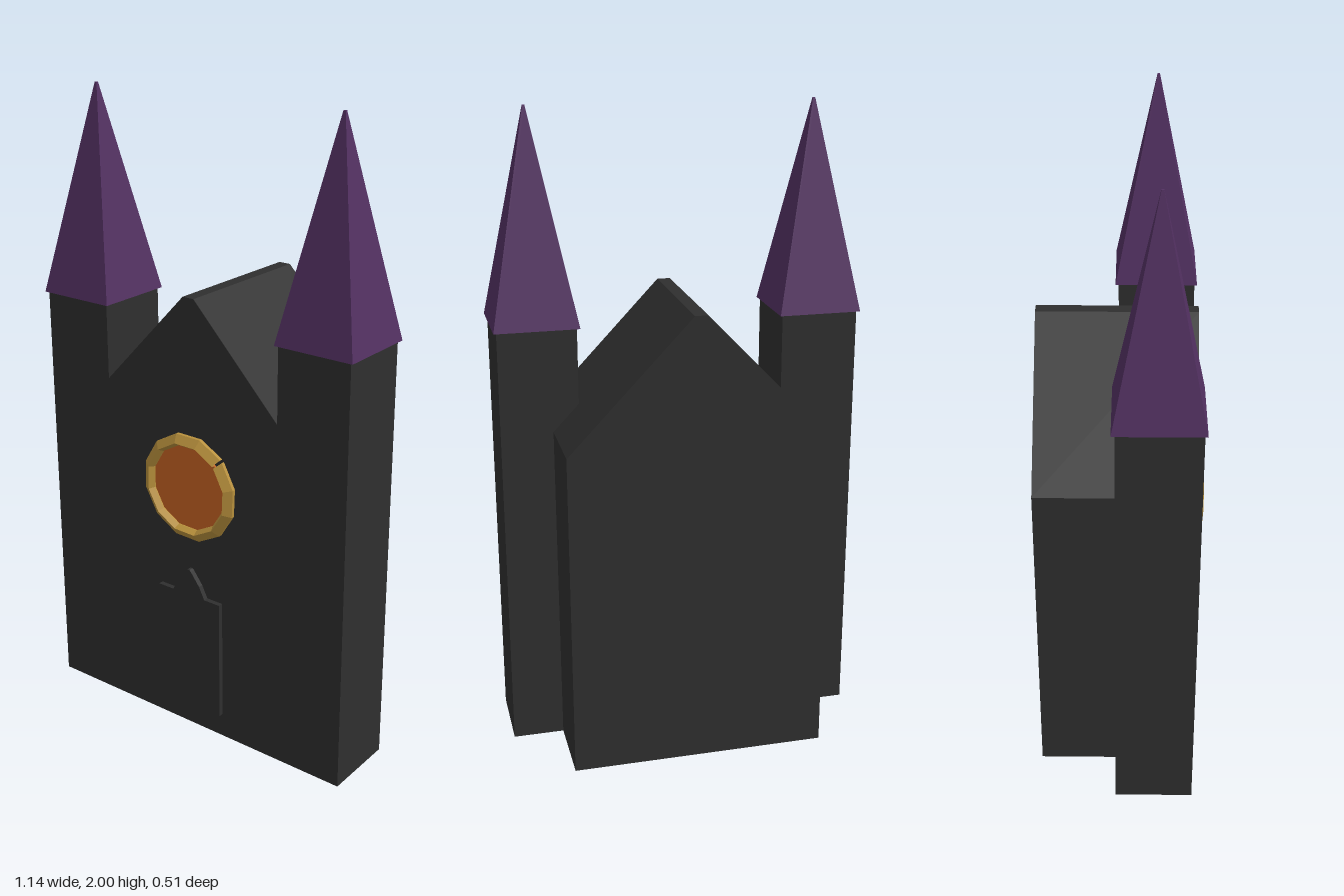
import * as THREE from 'three';

const mat = (name, color) => {
  const m = new THREE.MeshStandardMaterial({ color });
  m.name = name;
  return m;
};

export function createModel() {
  const group = new THREE.Group();
  const stone = mat('dark stone', 0x2f2f2f);
  const roof = mat('purple roof', 0x533162);
  const gold = mat('gold trim', 0xb8903c);
  gold.side = THREE.DoubleSide;
  const glass = mat('orange glass', 0xc86423);

  const add = (name, geometry, material, x = 0, y = 0, z = 0) => {
    const flat = geometry.index ? geometry.toNonIndexed() : geometry;
    flat.computeVertexNormals();
    const mesh = new THREE.Mesh(flat, material);
    mesh.name = name;
    mesh.position.set(x, y, z);
    group.add(mesh);
    return mesh;
  };

  // Outline mirrored in x, given as its right half from bottom to top, extruded along z
  const mirrored = (half, depth) => {
    const left = half.map(([x, y]) => [-x, y]).reverse();
    const shape = new THREE.Shape([...half, ...left].map(([x, y]) => new THREE.Vector2(x, y)));
    return new THREE.ExtrudeGeometry(shape, { depth, bevelEnabled: false });
  };

  // Gabled hall with a narrow flat ridge
  add('hall', mirrored([[0.4, 0], [0.4, 1.04], [0.02, 1.44]], 0.481), stone, 0, 0, -0.256);

  // Twin towers with square spires
  for (const [side, s] of [['left', 1], ['right', -1]]) {
    add(side + 'Tower', new THREE.BoxGeometry(0.24, 1.362, 0.24), stone, s * 0.44, 0.681, 0.105);
    const spire = new THREE.CylinderGeometry(0.005, 0.129 * Math.SQRT2, 0.64, 4).rotateY(Math.PI / 4);
    add(side + 'Spire', spire, roof, s * 0.44, 1.68, 0.104);
  }

  // Raised door with a pointed head
  add('door', mirrored([[0.12, 0.08], [0.12, 0.48], [0.062, 0.48], [0.042, 0.52], [0.01, 0.562], [0.004, 0.567]], 0.017),
    stone, 0, 0, 0.224);

  // Twelve-sided window ring with a thin open joint at the upper right
  const profile = [[0.174, 0], [0.174, 0.012], [0.148, 0.029], [0.137, 0.012], [0.137, 0]]
    .map(([r, h]) => new THREE.Vector2(r, h));
  const ring = new THREE.LatheGeometry(profile, 12, Math.PI * 0.75, Math.PI * 2 - 0.05).rotateX(Math.PI / 2);
  add('windowRing', ring, gold, 0, 0.843, 0.224);

  // Window pane
  const pane = new THREE.CylinderGeometry(0.138, 0.138, 0.008, 12, 1, false, Math.PI / 12).rotateX(Math.PI / 2);
  add('windowPane', pane, glass, 0, 0.843, 0.228);

  return group;
}
